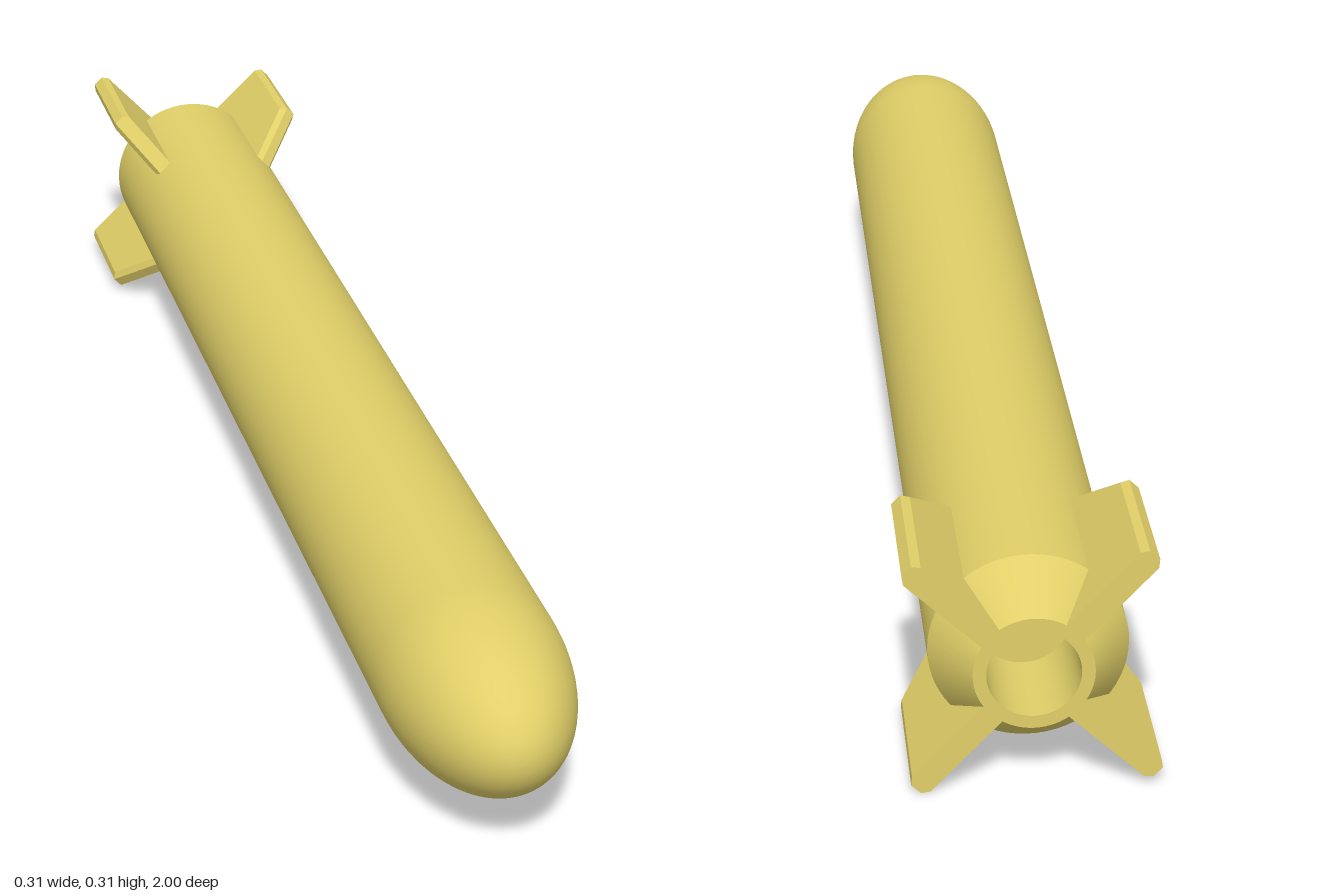
import * as THREE from 'three';

const AXIS_Y = 0.154, RADIUS = 0.12;
const material = new THREE.MeshStandardMaterial({ color: 0xe0cf68 });

// Surface of revolution along z; points are [radius, z], listed from inside the tail to the nose
function revolve(name, points) {
  const geometry = new THREE.LatheGeometry(points.map(([r, z]) => new THREE.Vector2(r, z)), 64);
  geometry.rotateX(Math.PI / 2);
  const mesh = new THREE.Mesh(geometry, material);
  mesh.name = name;
  return mesh;
}

// Swept fin with chamfered tip and leading edge; x is radial, y is thickness
function finGeometry() {
  const full = [[0.063, -1], [0.203, -1], [0.203, -0.81], [0.07, -0.68]];
  const inset = [[0.063, -1], [0.194, -1], [0.194, -0.814], [0.07, -0.693]];
  const layers = [[inset, -0.015], [full, -0.008], [full, 0.008], [inset, 0.015]];
  const positions = [];
  const put = (k, i) => positions.push(layers[k][0][i][0], layers[k][1], layers[k][0][i][1]);

  for (let k = 0; k < 3; k++) {
    for (let i = 0; i < 4; i++) {
      const j = (i + 1) % 4;
      put(k, i); put(k + 1, i); put(k + 1, j);
      put(k, i); put(k + 1, j); put(k, j);
    }
  }
  [0, 1, 2, 0, 2, 3].forEach((i) => put(0, i));
  [0, 2, 1, 0, 3, 2].forEach((i) => put(3, i));

  const geometry = new THREE.BufferGeometry();
  geometry.setAttribute('position', new THREE.Float32BufferAttribute(positions, 3));
  geometry.computeVertexNormals();
  return geometry;
}

export function createModel() {
  const model = new THREE.Group();
  model.name = 'finnedRocket';

  // Long tube running smoothly into an elliptical nose
  const hull = [[RADIUS, -0.93]];
  const steps = 24;
  for (let i = 0; i <= steps; i++) {
    const a = (i / steps) * Math.PI / 2;
    hull.push([i === steps ? 0 : RADIUS * Math.cos(a), 0.77 + 0.23 * Math.sin(a)]);
  }
  model.add(revolve('hull', hull));

  // Tapered tail with a hollow nozzle; separate pieces keep the rims sharp
  model.add(revolve('tailCone', [[0.072, -1], [RADIUS, -0.93]]));
  model.add(revolve('nozzleRim', [[0.056, -1], [0.072, -1]]));
  model.add(revolve('nozzleBore', [[0.056, -0.87], [0.056, -1]]));
  model.add(revolve('nozzleFloor', [[0, -0.87], [0.056, -0.87]]));

  // Four fins in a cross
  const fin = finGeometry();
  for (let i = 0; i < 4; i++) {
    const mesh = new THREE.Mesh(fin, material);
    mesh.name = `tailFin${i + 1}`;
    mesh.rotation.z = THREE.MathUtils.degToRad(43 + 90 * i);
    model.add(mesh);
  }

  model.children.forEach((part) => { part.position.y = AXIS_Y; });
  return model;
}
